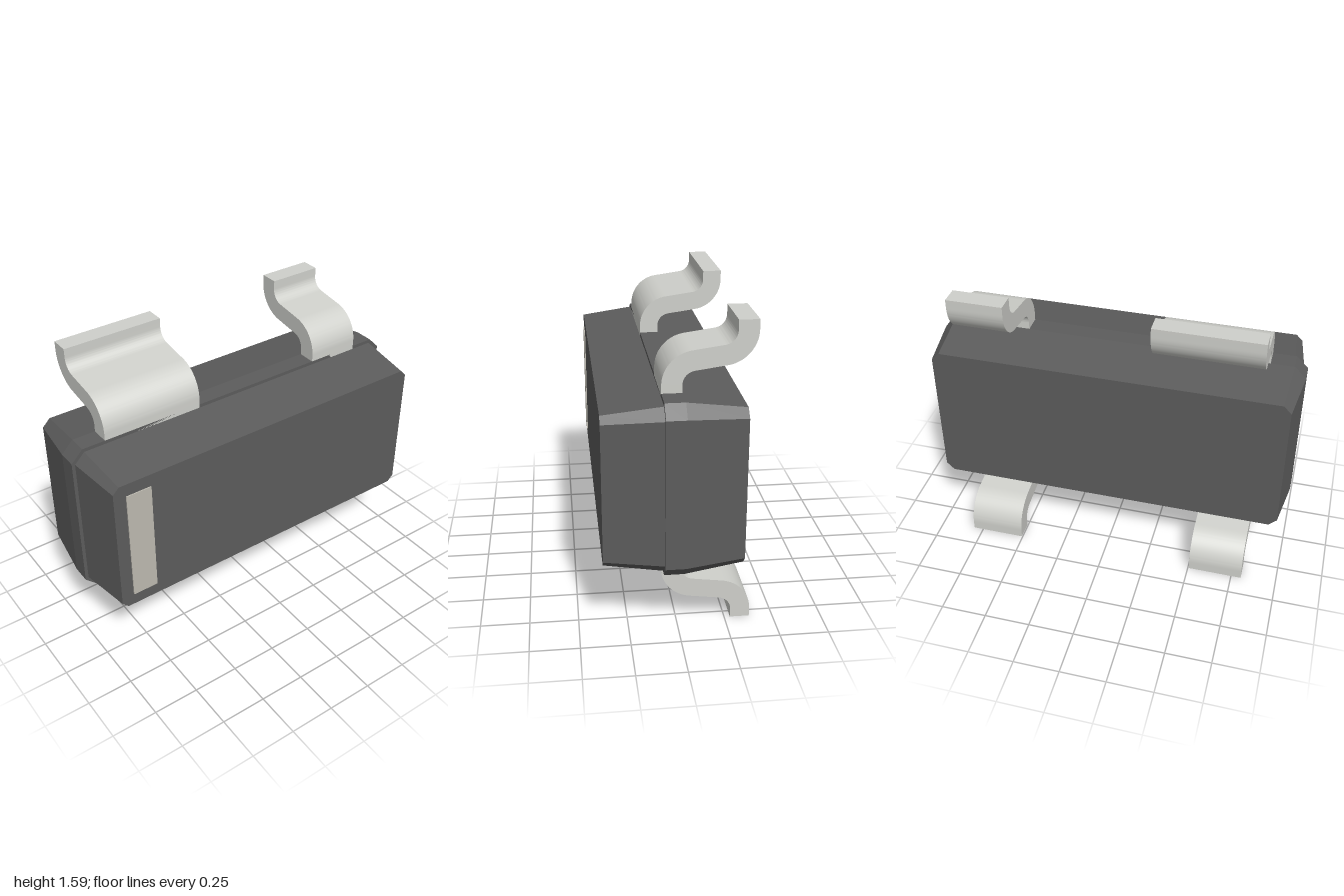
import * as THREE from 'three';
import { toCreasedNormals } from 'three/addons/utils/BufferGeometryUtils.js';

const MID_Y = 0.797;
const mat = (color) => new THREE.MeshStandardMaterial({ color });

// Chamfered rectangle, counter-clockwise seen from the front
function ring(z, hx, hy, c) {
  return [
    [hx, -hy + c], [hx, hy - c], [hx - c, hy], [-hx + c, hy],
    [-hx, hy - c], [-hx, -hy + c], [-hx + c, -hy], [hx - c, -hy],
  ].map(([x, y]) => [x, y, z]);
}

// Flat-faced loft through rings ordered back to front, capped at both ends
function loft(rings) {
  const pos = [];
  const tri = (a, b, c) => pos.push(...a, ...b, ...c);
  const n = rings[0].length;
  for (let i = 0; i < rings.length - 1; i++) {
    const a = rings[i], b = rings[i + 1];
    for (let j = 0; j < n; j++) {
      const k = (j + 1) % n;
      tri(a[j], a[k], b[k]);
      tri(a[j], b[k], b[j]);
    }
  }
  const back = rings[0], front = rings[rings.length - 1];
  for (let j = 1; j < n - 1; j++) {
    tri(front[0], front[j], front[j + 1]);
    tri(back[0], back[j + 1], back[j]);
  }
  const g = new THREE.BufferGeometry();
  g.setAttribute('position', new THREE.Float32BufferAttribute(pos, 3));
  g.computeVertexNormals();
  return g;
}

// S-bent strip of sheet metal, rising from the body and stepping to the back
function leadGeometry(width) {
  const rad = THREE.MathUtils.degToRad;
  const y1 = 1.282 - MID_Y, y2 = 1.541 - MID_Y;
  const s = new THREE.Shape();
  s.moveTo(-0.08, 0.3);
  s.lineTo(-0.08, y1);
  s.absarc(0.09, y1, 0.17, rad(180), rad(98), true);
  s.absarc(0.21, y2, 0.07, rad(-82), 0, false);
  s.lineTo(0.28, 1.59 - MID_Y);
  s.lineTo(0.38, 1.59 - MID_Y);
  s.lineTo(0.38, y2);
  s.absarc(0.21, y2, 0.17, 0, rad(-82), true);
  s.absarc(0.09, y1, 0.07, rad(98), rad(180), false);
  s.lineTo(0.02, 0.3);
  s.closePath();
  const g = new THREE.ExtrudeGeometry(s, { depth: width, bevelEnabled: false, curveSegments: 14 });
  g.translate(0, 0, -width / 2);
  g.rotateY(Math.PI / 2);
  return toCreasedNormals(g, rad(35));
}

export function createModel() {
  const model = new THREE.Group();
  const add = (name, geometry, material, x = 0, y = MID_Y, z = 0) => {
    const mesh = new THREE.Mesh(geometry, material);
    mesh.name = name;
    mesh.position.set(x, y, z);
    model.add(mesh);
    return mesh;
  };

  // Moulded case: tapered halves with a small step at the parting line
  add('case', loft([
    ring(-0.315, 0.96, 0.406, 0.042),
    ring(-0.02, 1, 0.447, 0.064),
    ring(0.08, 1, 0.447, 0.064),
    ring(0.08, 0.982, 0.428, 0.055),
    ring(0.377, 0.943, 0.389, 0.034),
  ]), mat(0x5c5c5c));

  // Printed polarity bar
  add('polarityBar', new THREE.BoxGeometry(0.14, 0.64, 0.02), mat(0xbdbab0), -0.805, 0.797, 0.373);

  // Leads: the lower ones are the upper ones turned half around
  const metal = mat(0xcfd0cb);
  const leads = [
    ['upperWideLead', -0.53, 0.56, false],
    ['upperNarrowLead', 0.655, 0.3, false],
    ['lowerRightLead', -0.655, 0.3, true],
    ['lowerLeftLead', 0.655, 0.3, true],
  ];
  for (const [name, x, width, lower] of leads) {
    const lead = add(name, leadGeometry(width), metal, x);
    if (lower) lead.rotation.z = Math.PI;
  }
  return model;
}
